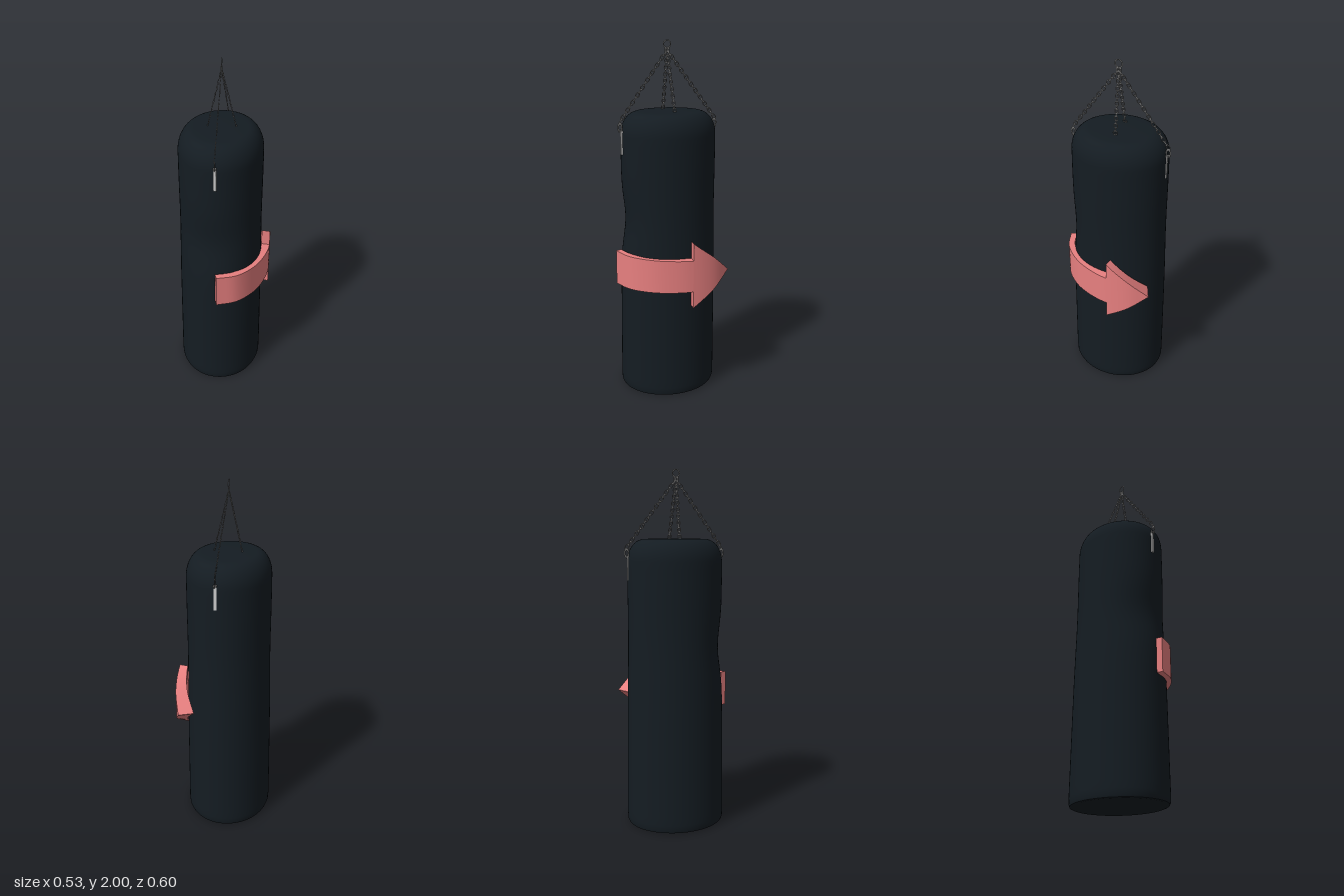
import * as THREE from 'three';
import { toCreasedNormals } from 'three/addons/utils/BufferGeometryUtils.js';

const mat = (color, side = THREE.FrontSide) => new THREE.MeshStandardMaterial({ color, side });
const { lerp } = THREE.MathUtils;
const bump = (v, centre, width) => Math.exp(-(((v - centre) / width) ** 2));

function mesh(name, geometry, material) {
  const m = new THREE.Mesh(geometry, material);
  m.name = name;
  return m;
}

// Slightly tapered oval bag with a rounded shoulder and a punched-in front
function bagGeometry() {
  const pts = [[0, 0.004], [0.5, 0.004], [0.94, 0.004], [0.975, 0.008], [0.993, 0.02]]
    .map(([r, y]) => new THREE.Vector2(r, y));
  for (let i = 0; i <= 36; i++) pts.push(new THREE.Vector2(1, lerp(0.05, 1.5, i / 36)));
  for (let i = 1; i <= 10; i++) {
    const a = (i / 10) * Math.PI / 2;
    pts.push(new THREE.Vector2(0.64 + 0.36 * Math.cos(a), 1.5 + 0.122 * Math.sin(a)));
  }
  pts.push(new THREE.Vector2(0.3, 1.625), new THREE.Vector2(0, 1.625));
  const geo = new THREE.LatheGeometry(pts, 64);
  const p = geo.attributes.position;
  for (let i = 0; i < p.count; i++) {
    const x = p.getX(i), y = p.getY(i), z = p.getZ(i), t = y / 1.6;
    const angle = Math.atan2(x, z);
    const dent = 0.022 * bump(y, 1.02, 0.15) * bump(angle, -0.2, 0.8) * Math.hypot(x, z);
    const waist = 1 - 0.015 * bump(y, 1.05, 0.25);
    p.setX(i, lerp(-0.02, -0.017, t) + x * lerp(0.246, 0.227, t) * waist);
    p.setZ(i, lerp(-0.012, -0.014, t) + z * lerp(0.28, 0.265, t) * waist - dent);
  }
  return toCreasedNormals(geo, 0.7);
}

// Thick arrow wrapping the bag, swept from an outer and an inner path
function arrowGeometry() {
  const path = (pts) => new THREE.CatmullRomCurve3(pts.map(([x, z]) => new THREE.Vector3(x, 0, z)));
  const outer = path([[-0.002, 0.302], [0.105, 0.258], [0.195, 0.16], [0.243, 0.05],
    [0.263, -0.062], [0.25, -0.19], [0.204, -0.295]]);
  const inner = path([[-0.014, 0.27], [0.085, 0.228], [0.16, 0.14], [0.205, 0.03],
    [0.215, -0.066], [0.19, -0.165], [0.125, -0.256]]);
  const head = 4 / 6, rings = [];
  const addRing = (t, half) => {
    const o = outer.getPoint(t), n = inner.getPoint(t), y = lerp(0.757, 0.741, t);
    rings.push([[o.x, y + half, o.z], [o.x, y - half, o.z], [n.x, y - half, n.z], [n.x, y + half, n.z]]);
  };
  for (let i = 0; i <= 20; i++) addRing(head * i / 20, lerp(0.098, 0.091, i / 20));
  for (let i = 0; i <= 12; i++) addRing(lerp(head, 1, i / 12), lerp(0.188, 0.001, i / 12));
  const v = [];
  const quad = (a, b, c, d) => v.push(...a, ...b, ...c, ...a, ...c, ...d);
  for (let i = 0; i < rings.length - 1; i++) {
    for (let k = 0; k < 4; k++) {
      const j = (k + 1) % 4;
      quad(rings[i][k], rings[i][j], rings[i + 1][j], rings[i + 1][k]);
    }
  }
  const s = rings[0], e = rings[rings.length - 1];
  quad(s[0], s[3], s[2], s[1]);
  quad(e[0], e[1], e[2], e[3]);
  const geo = new THREE.BufferGeometry();
  geo.setAttribute('position', new THREE.Float32BufferAttribute(v, 3));
  geo.computeVertexNormals();
  return toCreasedNormals(geo, 0.6);
}

// Row of oval links, every second one turned a quarter
function chain(name, from, to, material) {
  const g = new THREE.Group();
  g.name = name;
  const geo = new THREE.TorusGeometry(0.0095, 0.0026, 6, 12).scale(1, 1.6, 1);
  const dir = to.clone().sub(from), n = Math.round(dir.length() / 0.0235);
  dir.normalize();
  const side = new THREE.Vector3(-dir.z, 0, dir.x).normalize();
  const basis = new THREE.Matrix4().makeBasis(side, dir, side.clone().cross(dir));
  const aim = new THREE.Quaternion().setFromRotationMatrix(basis);
  for (let i = 0; i <= n; i++) {
    const link = mesh('chainLink', geo, material);
    link.position.lerpVectors(from, to, i / n);
    link.quaternion.copy(aim);
    if (i % 2 === 0) link.rotateY(Math.PI / 2);
    g.add(link);
  }
  return g;
}

export function createModel() {
  const model = new THREE.Group();
  model.name = 'punchingBag';
  const metal = mat(0x777777), strapMat = mat(0xcccccc);

  model.add(mesh('bag', bagGeometry(), mat(0x141c22)));
  model.add(mesh('directionArrow', arrowGeometry(), mat(0xe88080, THREE.DoubleSide)));

  // Hanging hardware, narrow from front to side
  const hanger = new THREE.Group();
  hanger.name = 'hanger';
  hanger.position.set(-0.012, 0, -0.012);
  hanger.scale.x = 0.3;
  const ring = mesh('topRing', new THREE.TorusGeometry(0.02, 0.0035, 8, 24), metal);
  ring.rotation.y = Math.PI / 2;
  ring.position.set(0, 1.9765, 0.006);
  hanger.add(ring);

  const top = new THREE.Vector3(0, 1.945, 0.006);
  [[0, 0.272, 'frontChain'], [0, -0.272, 'backChain'], [0.28, -0.013, 'leftChain'], [-0.28, 0.003, 'rightChain']]
    .forEach(([x, z, name]) => hanger.add(chain(name, top, new THREE.Vector3(x, 1.58, z), metal)));

  // Clip and strap at the front and back
  for (const s of [1, -1]) {
    const clip = mesh('clip', new THREE.TorusGeometry(0.011, 0.004, 8, 16).scale(1, 1.9, 1), metal);
    clip.rotation.y = Math.PI / 2;
    clip.position.set(0, 1.545, s * 0.275);
    const buckle = mesh('buckle', new THREE.BoxGeometry(0.06, 0.008, 0.016), metal);
    buckle.position.set(0, 1.528, s * 0.272);
    const strap = mesh('strap', new THREE.BoxGeometry(0.05, 0.13, 0.012), strapMat);
    strap.position.set(0, 1.462, s * 0.266);
    hanger.add(clip, buckle, strap);
  }
  model.add(hanger);
  return model;
}
